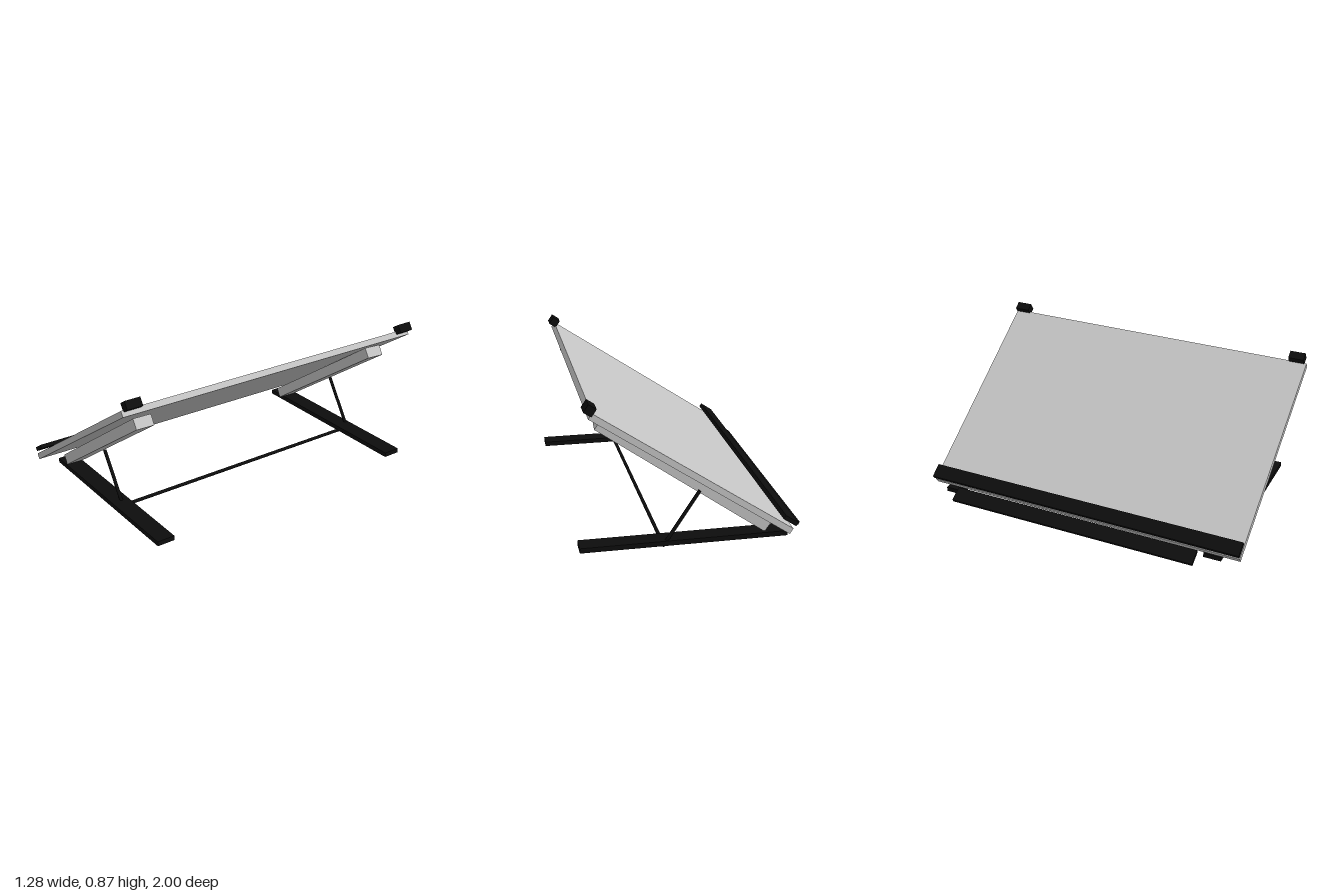
import * as THREE from 'three';

export function createModel() {
  const root = new THREE.Group();
  const grey = new THREE.MeshStandardMaterial({ color: 0xc4c4c4 });
  grey.name = 'light grey';
  const black = new THREE.MeshStandardMaterial({ color: 0x0d0d0d });
  black.name = 'black';

  // Box of [length, thickness, width], sloped about z and then turned about y.
  function slab(name, material, size, position, slope = 0, yaw = 0) {
    const mesh = new THREE.Mesh(new THREE.BoxGeometry(...size), material);
    mesh.name = name;
    mesh.position.set(...position);
    mesh.rotation.set(0, yaw, slope, 'YXZ');
    root.add(mesh);
    return mesh;
  }

  // Thin round rod between two points.
  function rod(name, from, to) {
    const a = new THREE.Vector3(...from);
    const b = new THREE.Vector3(...to);
    const dir = b.clone().sub(a);
    const mesh = new THREE.Mesh(new THREE.CylinderGeometry(0.01, 0.01, dir.length(), 12), black);
    mesh.name = name;
    mesh.position.copy(a).add(b).multiplyScalar(0.5);
    mesh.quaternion.setFromUnitVectors(new THREE.Vector3(0, 1, 0), dir.normalize());
    root.add(mesh);
  }

  const slope = 0.59;

  // Tilted board and the two lips along its low edge
  slab('board', grey, [1.305, 0.036, 1.99], [0.008, 0.441, 0], slope, -0.008);
  slab('upperLip', black, [0.086, 0.024, 1.99], [-0.526, 0.14, -0.005], slope, -0.005);
  slab('lowerLip', black, [0.09, 0.02, 1.565], [-0.594, 0.057, -0.037], 0.53, -0.004);

  // Corner stops on the high edge
  slab('leftStop', black, [0.05, 0.05, 0.094], [0.54, 0.842, 0.938], slope);
  slab('rightStop', black, [0.05, 0.05, 0.094], [0.558, 0.834, -0.946], slope);

  // Support rails under the board
  slab('leftRail', grey, [1.12, 0.063, 0.107], [0.035, 0.382, 0.828], 0.6, -0.04);
  slab('rightRail', grey, [1.12, 0.063, 0.107], [0.035, 0.386, -0.815], 0.6, -0.075);

  // Flat feet
  slab('leftFoot', black, [1.15, 0.028, 0.106], [0.065, 0.028, 0.817]);
  slab('rightFoot', black, [1.15, 0.028, 0.106], [0.045, 0.034, -0.872]);

  // Props and the cross rod that joins them
  rod('leftProp', [0.163, 0.014, 0.808], [-0.022, 0.294, 0.808]);
  rod('rightProp', [0.163, 0.018, -0.905], [-0.034, 0.318, -0.905]);
  rod('crossRod', [0.163, 0.012, 0.808], [0.163, 0.016, -0.905]);

  return root;
}
